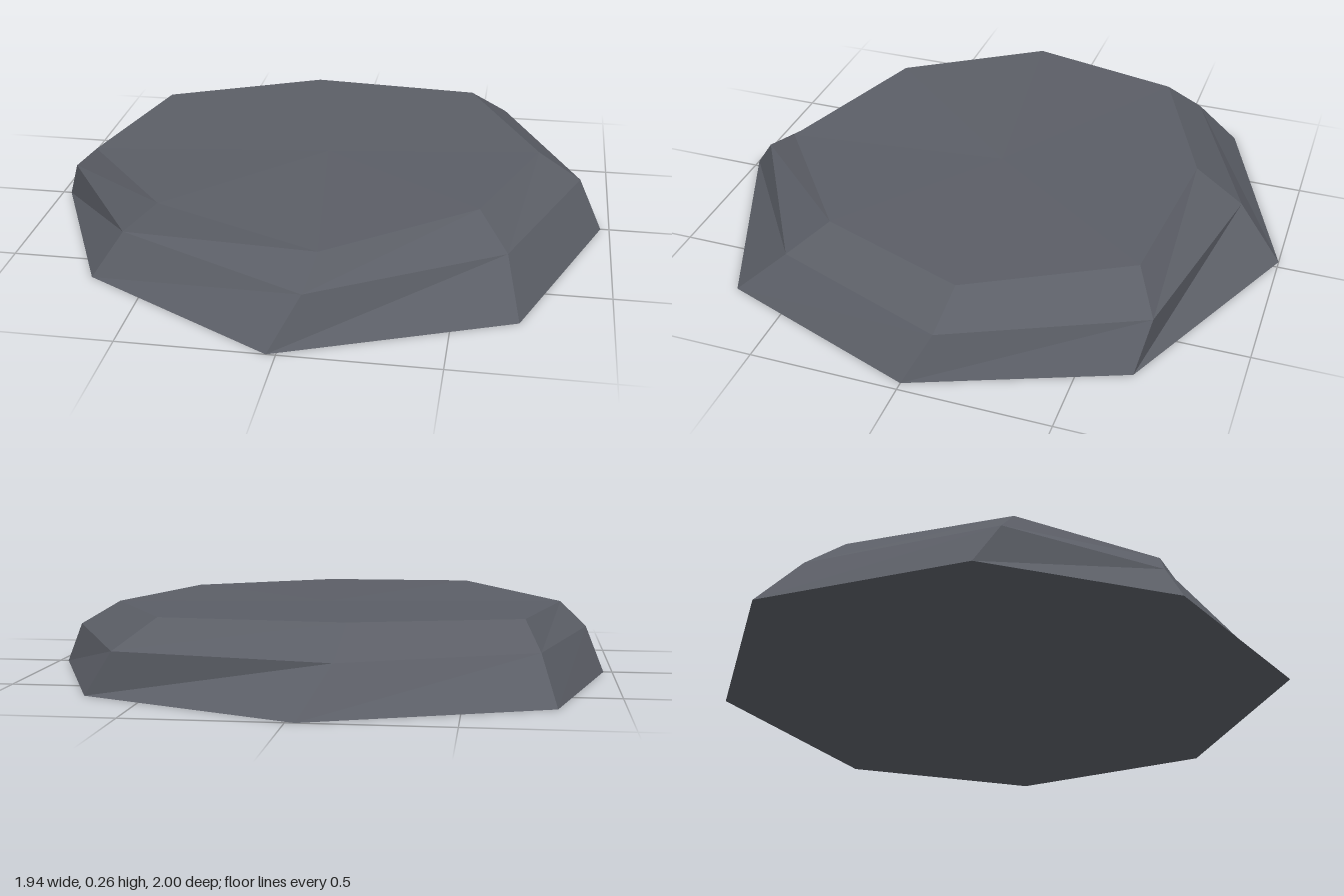
import * as THREE from 'three';

// Cross-sections of the slab, clockwise from the back: [x, y, z]
const base = [[-0.03, 0, -1], [0.7, 0, -0.67], [0.97, 0, 0], [0.71, 0, 0.7],
  [-0.03, 0, 1], [-0.69, 0, 0.62], [-0.97, 0, 0], [-0.79, 0, -0.7]];
const shoulder = [[-0.12, 0.15, -0.84], [0.6, 0.15, -0.7], [0.89, 0.15, -0.08], [0.66, 0.15, 0.53],
  [0.06, 0.15, 0.89], [-0.59, 0.15, 0.57], [-0.91, 0.15, 0.08], [-0.74, 0.15, -0.56]];
const rim = [[-0.14, 0.25, -0.67], [0.47, 0.25, -0.62], [0.74, 0.237, -0.1], [0.56, 0.243, 0.41],
  [0.09, 0.235, 0.77], [-0.47, 0.258, 0.56], [-0.82, 0.235, 0.11], [-0.69, 0.24, -0.44]];

export function createModel() {
  const group = new THREE.Group();
  group.name = 'stoneSlab';
  const stone = new THREE.MeshStandardMaterial({ color: 0x5b5e66 });
  stone.name = 'slateGrey';

  const addFacets = (name, triangles) => {
    const geometry = new THREE.BufferGeometry();
    geometry.setAttribute('position', new THREE.Float32BufferAttribute(triangles.flat(2), 3));
    geometry.computeVertexNormals(); // unshared corners keep the facets flat
    const mesh = new THREE.Mesh(geometry, stone);
    mesh.name = name;
    group.add(mesh);
  };

  // Band of facets between two cross-sections
  const band = (low, high) => low.flatMap((a, i) => {
    const j = (i + 1) % low.length;
    return [[low[j], a, high[i]], [low[j], high[i], high[j]]];
  });
  // Fan closing a cross-section around its centre
  const cap = (ring, centre, up) => ring.map((a, i) => {
    const b = ring[(i + 1) % ring.length];
    return up ? [centre, b, a] : [centre, a, b];
  });

  addFacets('lowerSides', band(base, shoulder));
  addFacets('bevelledEdge', band(shoulder, rim));
  addFacets('topFace', cap(rim, [0, 0.236, 0], true));
  addFacets('underside', cap(base, [0, 0, 0], false));
  return group;
}
